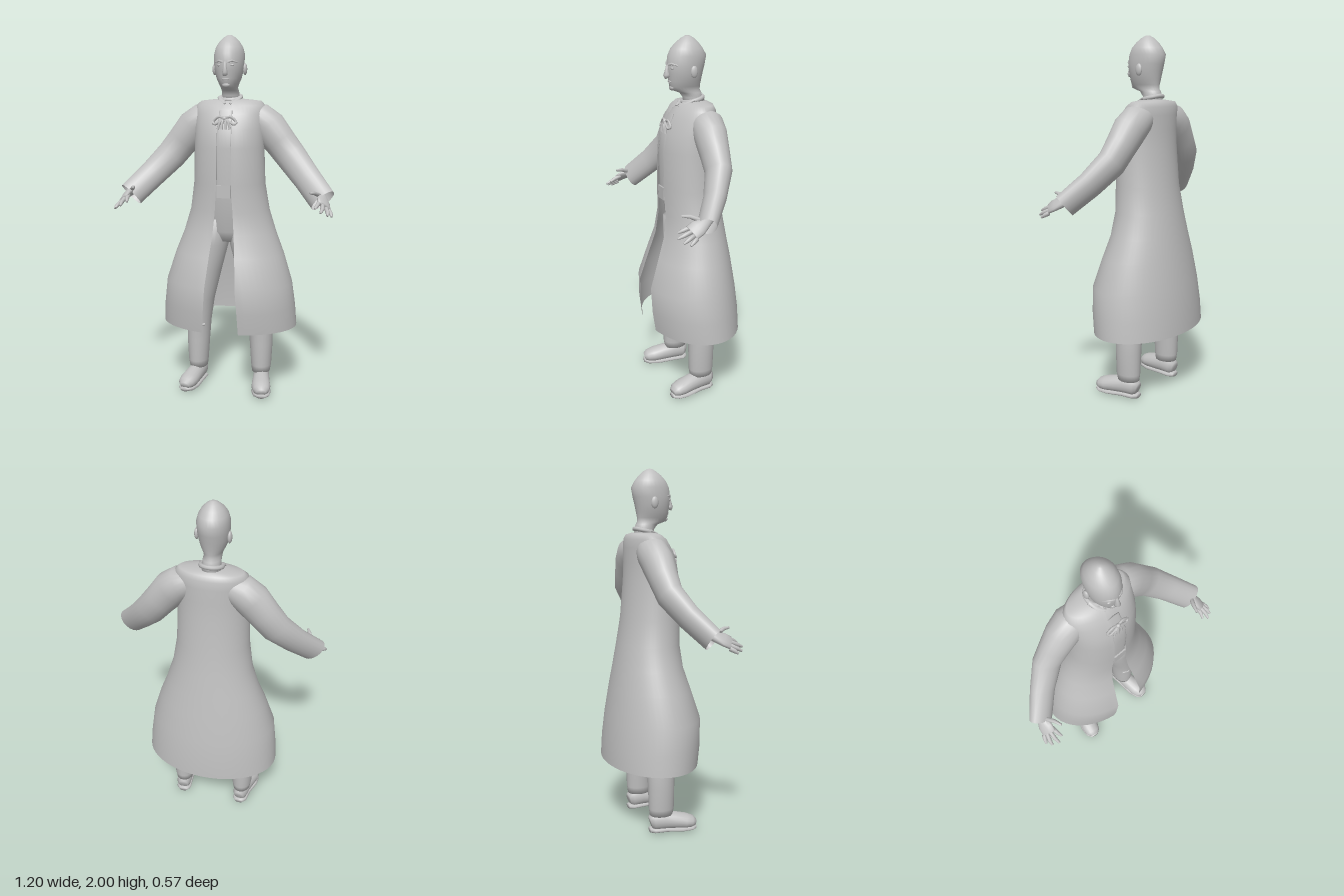
import * as THREE from 'three';

const V = (x, y, z) => new THREE.Vector3(x, y, z);
const grey = new THREE.MeshStandardMaterial({ color: 0xc0c0c0, side: THREE.DoubleSide });
grey.name = 'plain grey';

// Skin a list of rings {c, u, v, gap}; gap leaves an opening around the v direction.
function loft(rings, seg = 24, cap = false) {
  if (cap) {
    const flat = r => ({ c: r.c, u: r.u.clone().multiplyScalar(0.02), v: r.v.clone().multiplyScalar(0.02) });
    rings = [flat(rings[0]), ...rings, flat(rings[rings.length - 1])];
  }
  const open = rings.some(r => r.gap), n = open ? seg + 1 : seg;
  const pos = [], idx = [];
  for (const r of rings) {
    const a = open ? Math.asin(Math.min(0.9, r.gap / r.u.length())) : 0;
    for (let j = 0; j < n; j++) {
      const t = a + (Math.PI * 2 - 2 * a) * j / seg;
      const p = r.c.clone().addScaledVector(r.u, Math.sin(t)).addScaledVector(r.v, Math.cos(t));
      pos.push(p.x, p.y, p.z);
    }
  }
  for (let i = 0; i < rings.length - 1; i++) for (let j = 0; j < seg; j++) {
    const a = i * n + j, b = i * n + (j + 1) % n;
    idx.push(a, b, a + n, b, b + n, a + n);
  }
  const g = new THREE.BufferGeometry();
  g.setAttribute('position', new THREE.Float32BufferAttribute(pos, 3));
  g.setIndex(idx);
  g.computeVertexNormals();
  return g;
}

// Level rings, bottom to top: [y, halfWidth, zFront, zBack, centreX, gap]
const level = rows => rows.map(([y, rx, zf, zb, cx = 0, gap = 0]) =>
  ({ c: V(cx, y, (zf + zb) / 2), u: V(rx, 0, 0), v: V(0, 0, (zf - zb) / 2), gap }));

// Rings square to a path: [x, y, z, ru, rv], rv measured towards ref
function limb(rows, ref = V(0, 0, 1), seg = 20, cap = false) {
  const pts = rows.map(r => V(r[0], r[1], r[2]));
  return loft(rows.map((r, i) => {
    const T = pts[Math.min(i + 1, pts.length - 1)].clone().sub(pts[Math.max(i - 1, 0)]).normalize();
    const v = ref.clone().addScaledVector(T, -ref.dot(T)).normalize();
    return { c: pts[i], u: T.cross(v).multiplyScalar(r[3]), v: v.multiplyScalar(r[4] ?? r[3]) };
  }), seg, cap);
}

const blob = (x, y, z, rx, ry, rz) =>
  new THREE.SphereGeometry(1, 14, 10).scale(rx, ry, rz).translate(x, y, z);

function mirror(g) {
  const m = g.clone().scale(-1, 1, 1), a = m.index.array;
  for (let i = 0; i < a.length; i += 3) [a[i], a[i + 1]] = [a[i + 1], a[i]];
  return m;
}

export function createModel() {
  const group = new THREE.Group();
  group.name = 'figure in long coat';
  const add = (name, g) => {
    const m = new THREE.Mesh(g, grey);
    m.name = name;
    group.add(m);
  };
  const pair = (name, g) => { add(name + 'Left', g); add(name + 'Right', mirror(g)); };

  // Long coat, open down the front
  add('coat', loft(level([
    [0.385, 0.388, 0.235, -0.283, 0, 0.1],
    [0.5, 0.38, 0.25, -0.278, 0, 0.095],
    [0.64, 0.362, 0.253, -0.262, 0, 0.085],
    [0.8, 0.312, 0.2, -0.238, 0, 0.072],
    [0.92, 0.265, 0.16, -0.218, 0, 0.06],
    [1.05, 0.225, 0.143, -0.198, 0, 0.05],
    [1.2, 0.202, 0.148, -0.175, 0, 0.04],
    [1.4, 0.196, 0.143, -0.158, 0, 0.04],
    [1.5, 0.195, 0.125, -0.153, 0, 0.04],
    [1.58, 0.197, 0.09, -0.152, 0, 0.035],
    [1.625, 0.195, 0.06, -0.147, 0, 0.03],
    [1.65, 0.17, 0.03, -0.135, 0, 0.02],
    [1.662, 0.06, 0.01, -0.112, 0, 0.01],
  ]), 48));

  // Shirt and hips inside the coat
  add('shirt', loft(level([
    [0.87, 0.09, 0.06, -0.09], [0.93, 0.15, 0.09, -0.12], [1.05, 0.165, 0.105, -0.13],
    [1.16, 0.17, 0.125, -0.13], [1.4, 0.17, 0.133, -0.13], [1.5, 0.17, 0.115, -0.13],
    [1.6, 0.15, 0.07, -0.12], [1.65, 0.08, 0.02, -0.11],
  ]), 28, true));
  add('placket', limb([[0, 1.14, 0.13, 0.006, 0.042], [0, 1.4, 0.137, 0.006, 0.042],
    [0, 1.5, 0.121, 0.006, 0.042], [0, 1.6, 0.079, 0.006, 0.036]], V(1, 0, 0), 12, true));
  add('buckle', new THREE.BoxGeometry(0.075, 0.07, 0.018).translate(0, 1.165, 0.136));

  // Collar, lower at the front, with two small points
  add('collar', new THREE.TorusGeometry(0.056, 0.012, 8, 28).rotateX(Math.PI / 2)
    .rotateX(0.25).translate(0, 1.668, -0.045));
  pair('collarPoint', limb([[0.058, 1.67, -0.03, 0.008, 0.014], [0.042, 1.652, 0.012, 0.008, 0.016],
    [0.014, 1.636, 0.044, 0.004, 0.008]], V(1, 0, 0), 10, true));

  // Bow at the chest: loops and hanging ends on each side of a knot
  add('bowKnot', blob(0, 1.558, 0.118, 0.014, 0.014, 0.012));
  const ribbon = (...p) => new THREE.TubeGeometry(
    new THREE.CatmullRomCurve3(p.map(q => V(...q))), 16, 0.007, 7);
  pair('bowLoop', ribbon([0, 1.56, 0.115], [0.035, 1.566, 0.112], [0.064, 1.537, 0.112],
    [0.054, 1.527, 0.12], [0, 1.558, 0.12]));
  pair('bowEnd', ribbon([0, 1.558, 0.118], [0.022, 1.538, 0.125], [0.034, 1.5, 0.13]));
  pair('bowTail', ribbon([0, 1.558, 0.118], [0.01, 1.535, 0.127], [0.012, 1.5, 0.133]));

  // Sleeves with wide cuffs
  pair('sleeve', limb([
    [0.1, 1.57, -0.058, 0.07, 0.07], [0.16, 1.55, -0.056, 0.09, 0.088],
    [0.215, 1.504, -0.05, 0.098, 0.086], [0.28, 1.425, -0.043, 0.09, 0.076],
    [0.345, 1.345, -0.033, 0.086, 0.068], [0.44, 1.238, 0.034, 0.077, 0.057],
    [0.536, 1.132, 0.124, 0.074, 0.049],
  ]));

  // Hands: wrist and palm, four fingers and a thumb
  pair('palm', limb([[0.5, 1.18, 0.08, 0.027, 0.027], [0.535, 1.148, 0.14, 0.022, 0.032],
    [0.545, 1.135, 0.175, 0.018, 0.044], [0.55, 1.118, 0.21, 0.014, 0.044]],
    V(0.7, -0.7, 0), 14, true));
  const fingers = [
    [[0.577, 1.092, 0.195], [0.587, 1.08, 0.218], [0.593, 1.068, 0.235]],
    [[0.562, 1.104, 0.205], [0.572, 1.09, 0.24], [0.574, 1.077, 0.263]],
    [[0.544, 1.122, 0.205], [0.545, 1.106, 0.25], [0.54, 1.093, 0.282]],
    [[0.525, 1.138, 0.2], [0.518, 1.124, 0.24], [0.509, 1.112, 0.266]],
    [[0.52, 1.165, 0.155], [0.497, 1.182, 0.195], [0.482, 1.186, 0.235]],
  ];
  fingers.forEach((f, i) => pair(i < 4 ? 'finger' + (i + 1) : 'thumb',
    limb(f.map((p, k) => [...p, [0.012, 0.011, 0.006][k]]), V(1, 0, 0), 8, true)));

  // Trouser legs, spread towards the feet
  pair('trouserLeg', loft(level([
    [0.1, 0.052, 0.05, -0.082, 0.187], [0.14, 0.058, 0.056, -0.088, 0.188],
    [0.27, 0.066, 0.058, -0.092, 0.187], [0.39, 0.071, 0.06, -0.095, 0.182],
    [0.52, 0.073, 0.07, -0.09, 0.163], [0.7, 0.08, 0.082, -0.095, 0.125],
    [0.85, 0.086, 0.092, -0.105, 0.092], [1.0, 0.085, 0.095, -0.11, 0.078],
  ]), 22, true));
  pair('kneeFold', limb([[0.135, 0.37, 0.042, 0.007], [0.17, 0.362, 0.056, 0.009],
    [0.21, 0.372, 0.046, 0.007]], V(0, 0, 1), 8, true));

  // Shoes: uppers and flat soles, toes turned out
  pair('shoe', limb([
    [0.184, 0.06, -0.08, 0.035, 0.03], [0.186, 0.066, -0.06, 0.054, 0.043],
    [0.192, 0.066, 0, 0.053, 0.046], [0.201, 0.06, 0.06, 0.048, 0.05],
    [0.212, 0.052, 0.12, 0.042, 0.054], [0.219, 0.046, 0.155, 0.034, 0.046],
    [0.223, 0.04, 0.176, 0.02, 0.028],
  ], V(1, 0, 0), 18, true));
  pair('sole', limb([
    [0.184, 0.016, -0.084, 0.014, 0.026], [0.186, 0.016, -0.06, 0.016, 0.045],
    [0.193, 0.016, 0.01, 0.015, 0.045], [0.209, 0.015, 0.1, 0.015, 0.056],
    [0.219, 0.016, 0.155, 0.015, 0.047], [0.223, 0.018, 0.18, 0.012, 0.024],
  ], V(1, 0, 0), 12, true));

  // Head and neck, with a pointed crown
  add('head', loft(level([
    [1.63, 0.052, 0.01, -0.102], [1.68, 0.048, 0.01, -0.1], [1.705, 0.047, 0.03, -0.093],
    [1.72, 0.045, 0.072, -0.085], [1.74, 0.053, 0.087, -0.085], [1.77, 0.067, 0.092, -0.09],
    [1.81, 0.077, 0.098, -0.098], [1.85, 0.082, 0.103, -0.108], [1.9, 0.083, 0.095, -0.118],
    [1.935, 0.074, 0.078, -0.098], [1.965, 0.056, 0.05, -0.074],
    [1.988, 0.033, 0.02, -0.048], [2.0, 0.012, -0.002, -0.026],
  ]), 28, true));
  add('nose', limb([[0, 1.79, 0.098, 0.018, 0.014], [0, 1.802, 0.105, 0.018, 0.015],
    [0, 1.83, 0.102, 0.011, 0.009], [0, 1.855, 0.098, 0.008, 0.008]], V(1, 0, 0), 10, true));
  add('upperLip', blob(0, 1.768, 0.088, 0.023, 0.005, 0.008));
  add('lowerLip', blob(0, 1.759, 0.086, 0.019, 0.005, 0.008));
  add('chin', blob(0, 1.735, 0.076, 0.022, 0.015, 0.013));
  pair('brow', limb([[0.012, 1.855, 0.098, 0.006], [0.035, 1.861, 0.089, 0.007],
    [0.06, 1.853, 0.066, 0.004]], V(0, 0, 1), 8, true));
  pair('eye', blob(0.033, 1.838, 0.087, 0.014, 0.006, 0.008));
  pair('ear', blob(0.085, 1.82, -0.016, 0.012, 0.032, 0.02));

  return group;
}
